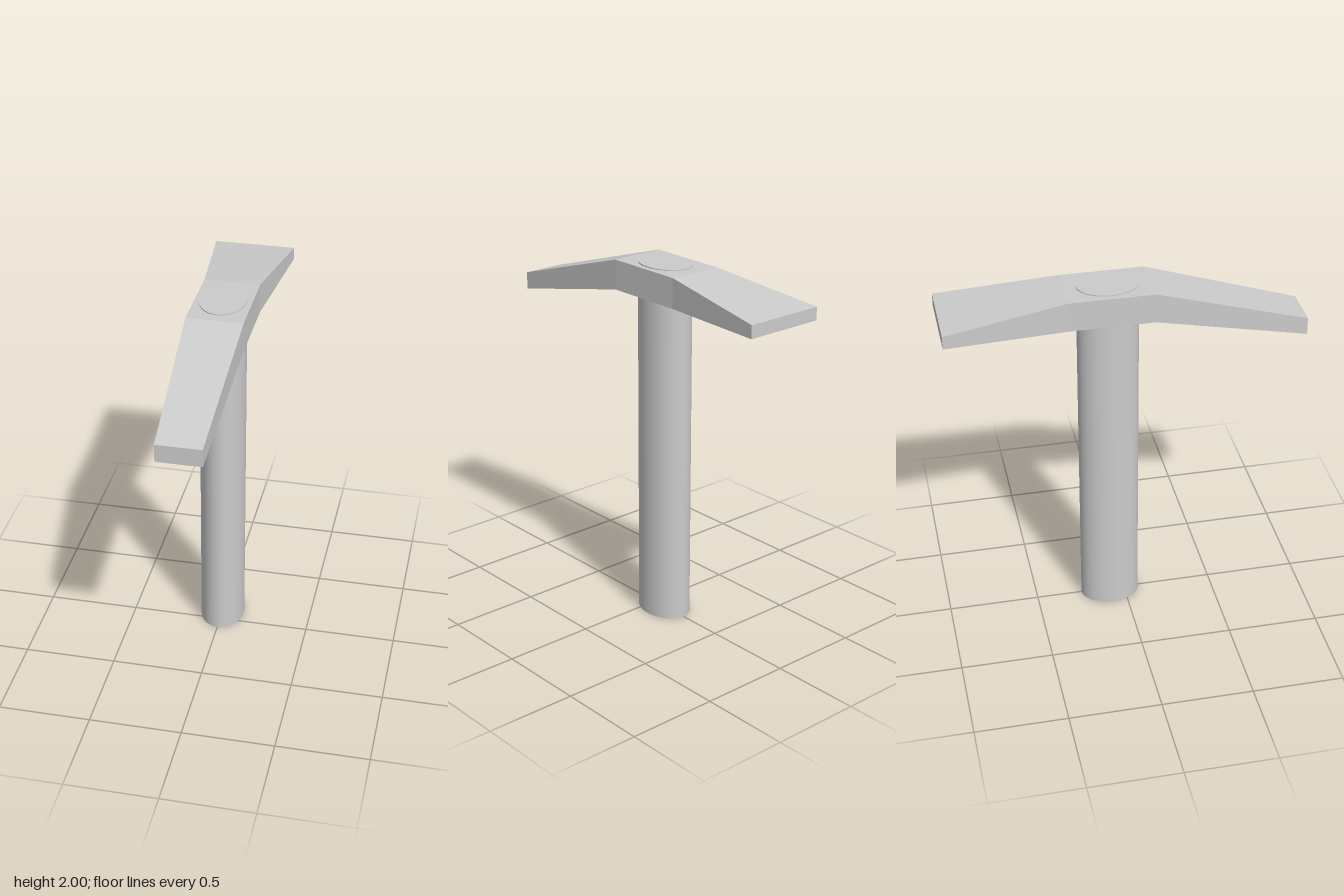
import * as THREE from 'three';

const material = new THREE.MeshStandardMaterial({ color: 0xcccccc });

// Head sections from back to front: z, bottom y, top y, half width
const SECTIONS = [
  [-0.955, 1.85, 1.92, 0.222],
  [-0.31, 1.832, 1.994, 0.15],
  [0.14, 1.832, 1.994, 0.15],
  [0.96, 1.645, 1.74, 0.118],
];

// A box with three segments along z, each ring of corners moved to its section
function headGeometry() {
  const box = new THREE.BoxGeometry(2, 2, 2, 1, 1, SECTIONS.length - 1);
  const pos = box.attributes.position;
  for (let i = 0; i < pos.count; i++) {
    const ring = Math.round((pos.getZ(i) + 1) / 2 * (SECTIONS.length - 1));
    const [z, bottom, top, half] = SECTIONS[ring];
    pos.setXYZ(i, pos.getX(i) * half, pos.getY(i) > 0 ? top : bottom, z);
  }
  const flat = box.toNonIndexed();
  flat.computeVertexNormals();
  return flat;
}

export function createModel() {
  const group = new THREE.Group();
  group.name = 'pickHammer';

  // Curved-down narrow pick in front, flared flat blade behind
  const head = new THREE.Mesh(headGeometry(), material);
  head.name = 'head';
  group.add(head);

  // Oval handle, passing through the head and just proud of its top
  const shaft = new THREE.CylinderGeometry(1, 1, 2, 64);
  shaft.scale(0.122, 1, 0.163);
  const handle = new THREE.Mesh(shaft, material);
  handle.name = 'handle';
  handle.position.set(0, 1, -0.082);
  group.add(handle);

  return group;
}
